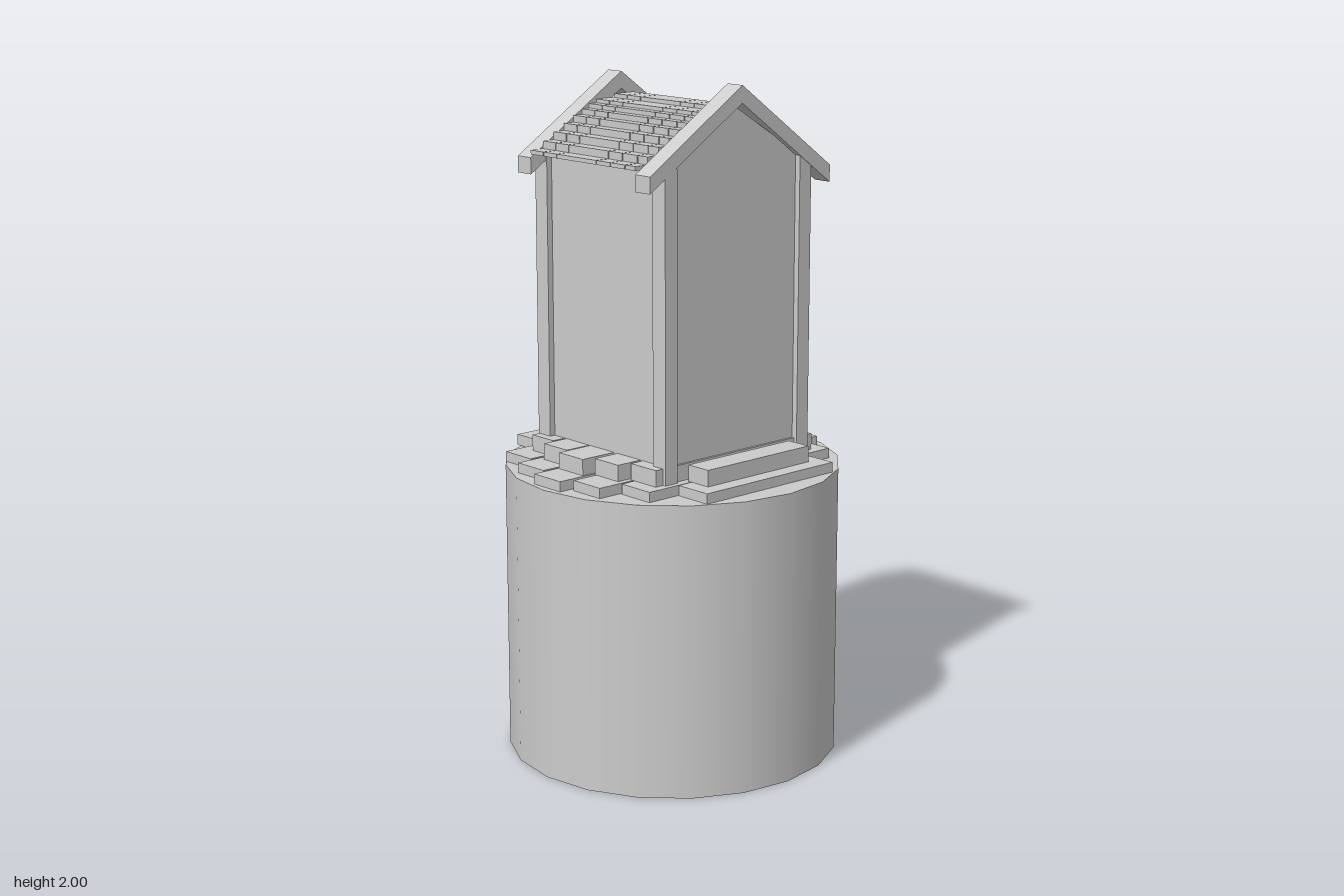
import * as THREE from 'three';

const material = new THREE.MeshStandardMaterial({ color: 0xcccccc });

function add(group, name, geometry) {
  const mesh = new THREE.Mesh(geometry, material);
  mesh.name = name;
  group.add(mesh);
  return mesh;
}

// Box given by its lower and upper limits on each axis
function block(group, name, x0, x1, y0, y1, z0, z1) {
  const mesh = add(group, name, new THREE.BoxGeometry(x1 - x0, y1 - y0, z1 - z0));
  mesh.position.set((x0 + x1) / 2, (y0 + y1) / 2, (z0 + z1) / 2);
}

// Outline in the xy plane, extruded from z0 to z1
function prism(group, name, points, z0, z1) {
  const shape = new THREE.Shape(points.map(([x, y]) => new THREE.Vector2(x, y)));
  const geometry = new THREE.ExtrudeGeometry(shape, { depth: z1 - z0, bevelEnabled: false });
  geometry.translate(0, 0, z0);
  add(group, name, geometry);
}

function section(parent, name) {
  const group = new THREE.Group();
  group.name = name;
  parent.add(group);
  return group;
}

export function createModel() {
  const model = new THREE.Group();
  model.name = 'hutOnPedestal';

  // Round pedestal
  const pedestal = add(model, 'pedestal', new THREE.CylinderGeometry(0.495, 0.495, 0.87, 20));
  pedestal.position.y = 0.435;

  // Lower paving: slabs reaching out on both sides, [half width, z0, z1]
  const paving = section(model, 'paving');
  const lower = [
    [0.376, -0.32, -0.205], [0.43, -0.195, -0.08], [0.472, -0.07, 0.045],
    [0.434, 0.06, 0.173], [0.358, 0.18, 0.297], [0.25, 0.3, 0.416],
  ];
  for (const [w, z0, z1] of lower) block(paving, 'lowerSlab', -w, w, 0.865, 0.9, z0, z1);
  block(paving, 'backLowerSlab', -0.235, 0.235, 0.872, 0.905, -0.44, -0.325);

  // Upper paving
  const upper = [
    [0.31, -0.275, -0.18], [0.35, -0.173, -0.07], [0.383, -0.065, 0.04],
    [0.35, 0.055, 0.155], [0.31, 0.165, 0.27], [0.2, 0.285, 0.366],
  ];
  for (const [w, z0, z1] of upper) block(paving, 'upperSlab', -w, w, 0.9, 0.948, z0, z1);
  block(paving, 'backUpperSlab', -0.19, 0.19, 0.907, 0.957, -0.39, -0.285);

  // Gabled walls
  const house = section(model, 'house');
  prism(house, 'walls', [
    [-0.265, 0.87], [0.265, 0.87], [0.265, 1.775], [0.004, 1.935], [-0.265, 1.775],
  ], -0.262, 0.262);

  // Corner posts
  for (const sx of [-1, 1]) {
    for (const z of [-0.252, 0.254]) {
      const x = sx * 0.26;
      block(house, 'cornerPost', x - 0.023, x + 0.023, 0.87, 1.79, z - 0.026, z + 0.026);
    }
  }

  // Gable trim at both ends, longer on the left
  const roof = section(model, 'roof');
  const trim = [
    [0.005, 2], [-0.34, 1.778], [-0.34, 1.73], [0.005, 1.95], [0.358, 1.695], [0.358, 1.745],
  ];
  prism(roof, 'frontGableTrim', trim, 0.222, 0.282);
  prism(roof, 'backGableTrim', trim, -0.286, -0.228);

  // Stepped roof tiles: flat layers, split along z by narrow gaps
  const layers = [
    [0.33, 1.8], [0.285, 1.822], [0.245, 1.845], [0.205, 1.866], [0.17, 1.886],
    [0.138, 1.902], [0.11, 1.915], [0.082, 1.926],
  ];
  const splits = [-0.229, -0.17, -0.112, 0.059, 0.118, 0.18, 0.223];
  for (const [w, top] of layers) {
    for (let i = 0; i < splits.length - 1; i++) {
      block(roof, 'roofTile', -0.01 - w, -0.01 + w, top - 0.025 + (w > 0.3 ? 0.013 : 0), top,
        splits[i] + 0.0015, splits[i + 1] - 0.0015);
    }
  }

  // Ridge caps
  const ridge = [-0.22, -0.163, -0.105, 0.065, 0.123, 0.185, 0.223];
  for (let i = 0; i < ridge.length - 1; i++) {
    block(roof, 'ridgeCap', -0.03, 0.043, 1.91, 1.938, ridge[i] + 0.0015, ridge[i + 1] - 0.0015);
  }

  return model;
}
